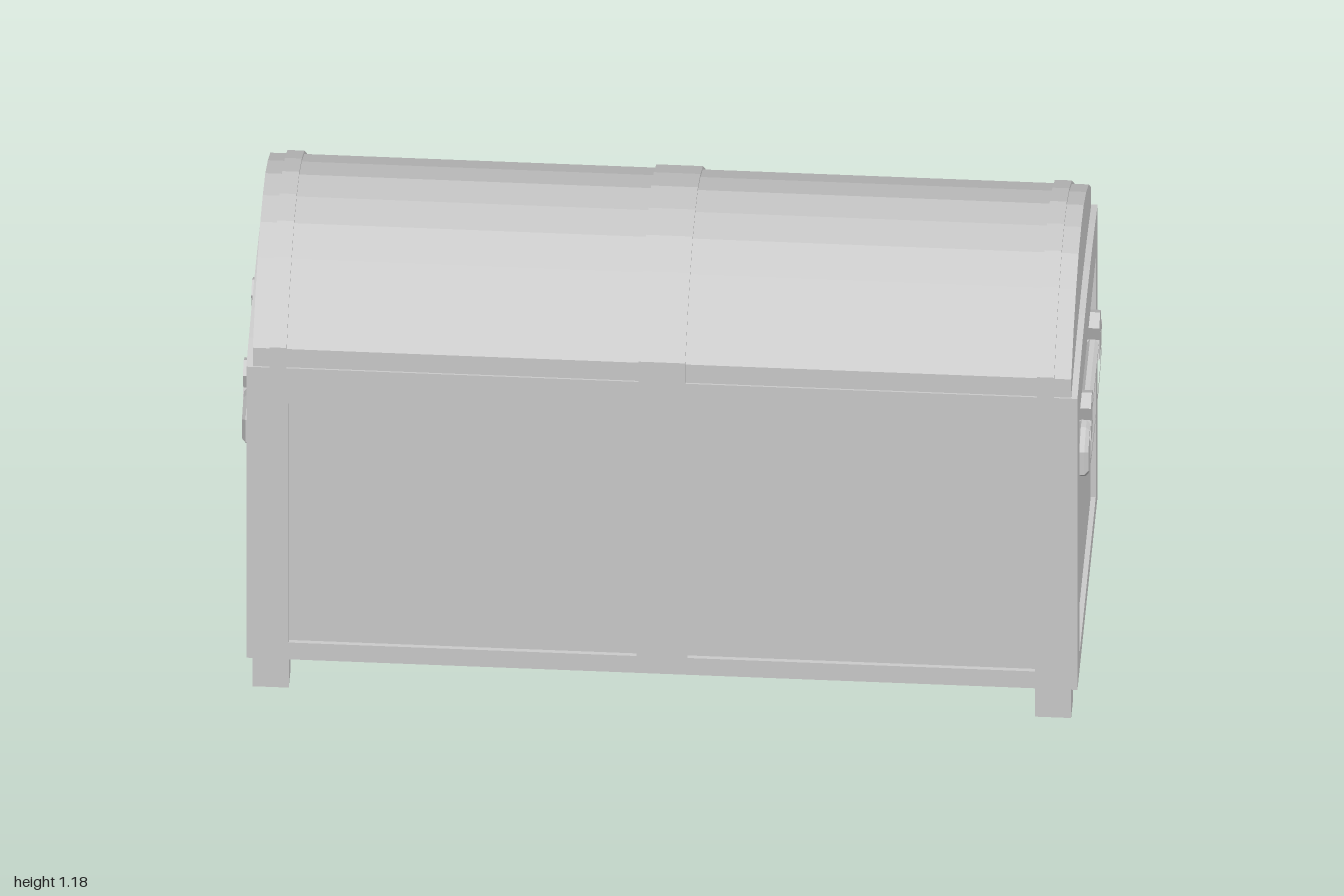
import * as THREE from 'three';

const grey = new THREE.MeshStandardMaterial({ color: 0xcccccc, flatShading: true });

function add(parent, name, geometry, x = 0, y = 0, z = 0) {
  const mesh = new THREE.Mesh(geometry, grey);
  mesh.name = name;
  mesh.position.set(x, y, z);
  parent.add(mesh);
  return mesh;
}

const box = (w, h, d) => new THREE.BoxGeometry(w, h, d);
const toPoints = (list) => list.map(([x, y]) => new THREE.Vector2(x, y));
const extrude = (shape, depth, options = {}) =>
  new THREE.ExtrudeGeometry(shape, { depth, bevelEnabled: false, ...options });

// Completes a left-right symmetric outline from its right half, listed top to bottom
function mirrored(half) {
  const left = half.filter(([x]) => x > 0).map(([x, y]) => [-x, y]).reverse();
  return toPoints([...half, ...left]);
}

function rectangle(x0, y0, x1, y1) {
  return toPoints([[x0, y0], [x1, y0], [x1, y1], [x0, y1]]);
}

// Faceted barrel outline of the lid, from one lower edge over the top to the other
function archPoints(halfWidth, top, base) {
  const steps = [[1, 0.168], [0.75, 0.088], [0.507, 0.041], [0.253, 0.007]];
  const side = steps.map(([f, drop]) => [f * halfWidth, top - drop]);
  return [
    [halfWidth, base], ...side, [0, top],
    ...side.slice().reverse().map(([x, y]) => [-x, y]), [-halfWidth, base],
  ];
}

export function createModel() {
  const chest = new THREE.Group();
  chest.name = 'chest';

  // Inner body, whose faces are the floors of the recessed panels
  add(chest, 'body', box(1.936, 0.865, 0.73), 0, 0.5175, 0);

  // Front and back frames, each with two panel openings
  const longFrame = new THREE.Shape(rectangle(-0.968, 0.085, 0.968, 0.95));
  for (const s of [-1, 1]) {
    longFrame.holes.push(new THREE.Path(
      rectangle(Math.min(0.06 * s, 0.88 * s), 0.135, Math.max(0.06 * s, 0.88 * s), 0.845)));
  }
  const longGeometry = extrude(longFrame, 0.01);
  add(chest, 'frontFrame', longGeometry, 0, 0, 0.365);
  add(chest, 'backFrame', longGeometry, 0, 0, -0.365).rotation.y = Math.PI;

  // End frame with a bowed top and one panel opening
  const endFrame = new THREE.Shape();
  endFrame.moveTo(-0.375, 0.085);
  endFrame.lineTo(0.375, 0.085);
  for (let i = 0; i <= 8; i++) {
    const z = 0.375 - (0.75 * i) / 8;
    endFrame.lineTo(z, 0.985 - 0.035 * (z / 0.375) ** 2);
  }
  endFrame.holes.push(new THREE.Path(rectangle(-0.305, 0.135, 0.305, 0.845)));
  const endGeometry = extrude(endFrame, 0.016);

  // Handle ring with bevelled edges
  const ring = new THREE.Shape(mirrored([
    [0.2, 0.723], [0.255, 0.7], [0.255, 0.644], [0.21, 0.607], [0.13, 0.592], [0, 0.587],
  ]));
  ring.holes.push(new THREE.Path(mirrored([
    [0.195, 0.71], [0.23, 0.695], [0.23, 0.647], [0.195, 0.619], [0.12, 0.606], [0, 0.6],
  ])));
  const ringGeometry = extrude(ring, 0.012, {
    bevelEnabled: true, bevelSize: 0.01, bevelThickness: 0.009, bevelSegments: 1,
  });

  // Waisted bracket that holds the handle
  const bracket = new THREE.Shape(mirrored([
    [0, 0.8], [0.036, 0.78], [0.018, 0.732], [0.036, 0.685], [0, 0.665],
  ]));
  const bracketGeometry = extrude(bracket, 0.033);

  // Both ends: frame, handle and brackets
  for (const s of [1, -1]) {
    const end = new THREE.Group();
    end.name = s > 0 ? 'leftEnd' : 'rightEnd';
    end.rotation.y = (s * Math.PI) / 2;
    add(end, 'endFrame', endGeometry, 0, 0, 0.964);
    add(end, 'handle', ringGeometry, 0, 0, 0.977);
    for (const side of [-1, 1]) add(end, 'handleBracket', bracketGeometry, side * 0.155, 0, 0.967);
    chest.add(end);
  }

  // Barrel lid
  const lid = extrude(new THREE.Shape(toPoints(archPoints(0.371, 1.172, 0.95))), 1.93);
  lid.rotateY(Math.PI / 2);
  add(chest, 'lid', lid, -0.965);

  // Raised straps over the lid
  const strap = new THREE.Shape(toPoints([
    ...archPoints(0.376, 1.179, 0.95), ...archPoints(0.37, 1.171, 0.95).reverse(),
  ]));
  for (const [x, width] of [[-0.905, 0.04], [0, 0.11], [0.905, 0.04]]) {
    const geometry = extrude(strap, width);
    geometry.rotateY(Math.PI / 2);
    add(chest, 'lidStrap', geometry, x - width / 2);
  }

  // Feet
  for (const x of [-1, 1]) {
    for (const z of [-1, 1]) add(chest, 'foot', box(0.085, 0.09, 0.065), x * 0.9225, 0.045, z * 0.3415);
  }

  return chest;
}
